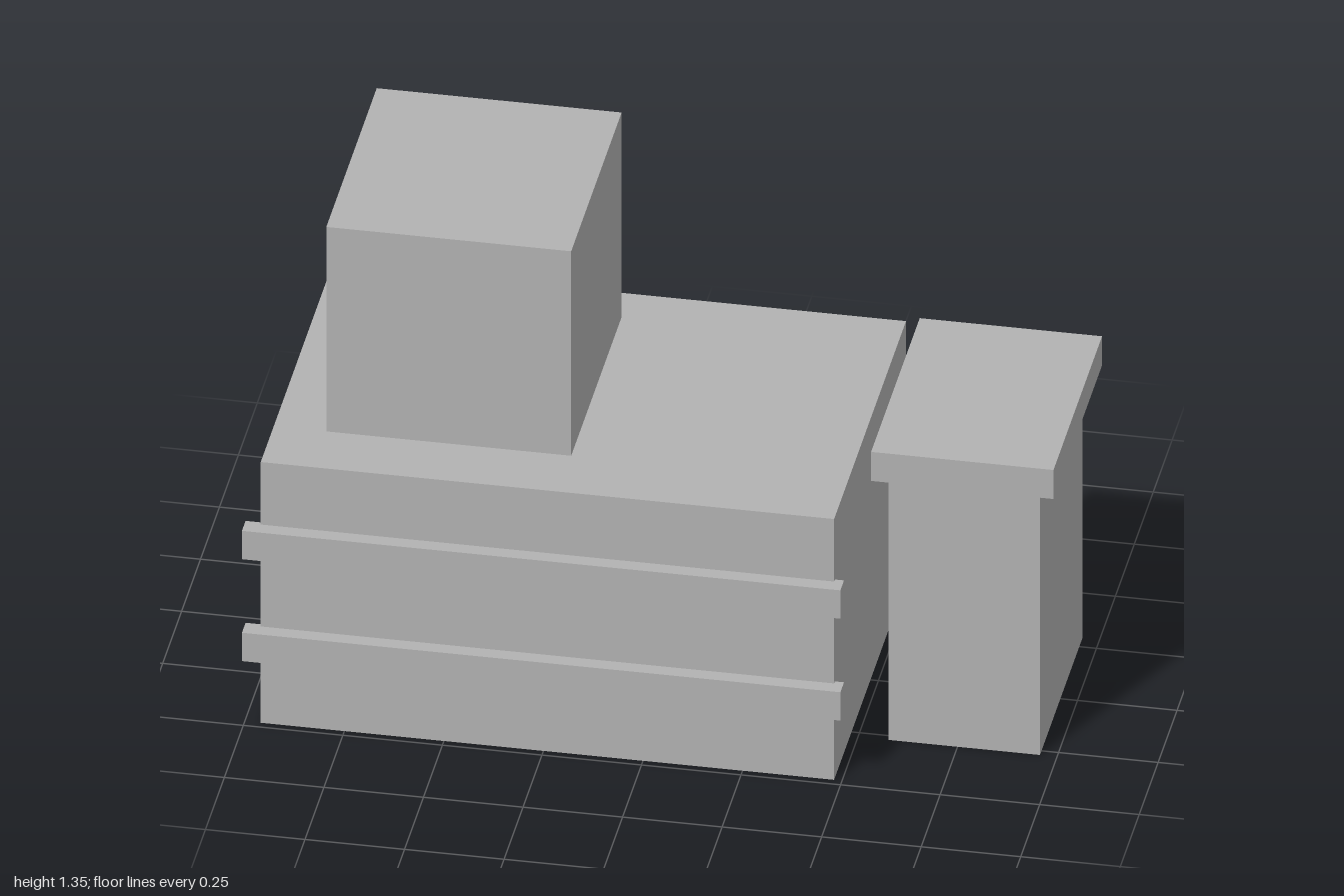
import * as THREE from 'three';

export function createModel() {
  const group = new THREE.Group();
  const grey = new THREE.MeshStandardMaterial({ color: 0xb2b2b2 });
  grey.name = 'plain grey';

  // Box given by its extent along each axis
  function block(name, [x0, x1], [y0, y1], [z0, z1]) {
    const mesh = new THREE.Mesh(new THREE.BoxGeometry(x1 - x0, y1 - y0, z1 - z0), grey);
    mesh.position.set((x0 + x1) / 2, (y0 + y1) / 2, (z0 + z1) / 2);
    mesh.name = name;
    group.add(mesh);
  }

  // Main hall with the raised block on its roof
  block('mainBody', [-0.96, 0.48], [0, 0.755], [-0.47, 0.48]);
  block('roofBlock', [-0.828, -0.213], [0.755, 1.347], [-0.358, 0.308]);

  // Two horizontal rails along the front and the back
  for (const [level, y] of [['lower', 0.197], ['upper', 0.492]]) {
    block(level + 'FrontRail', [-1, 0.503], [y, y + 0.082], [0.47, 0.518]);
    block(level + 'BackRail', [-1, 0.503], [y, y + 0.082], [-0.52, -0.469]);
  }

  // Separate side column with an overhanging cap
  block('sideColumn', [0.577, 0.957], [0, 0.768], [-0.294, 0.27]);
  block('columnCap', [0.54, 0.998], [0.768, 0.852], [-0.335, 0.307]);

  return group;
}
